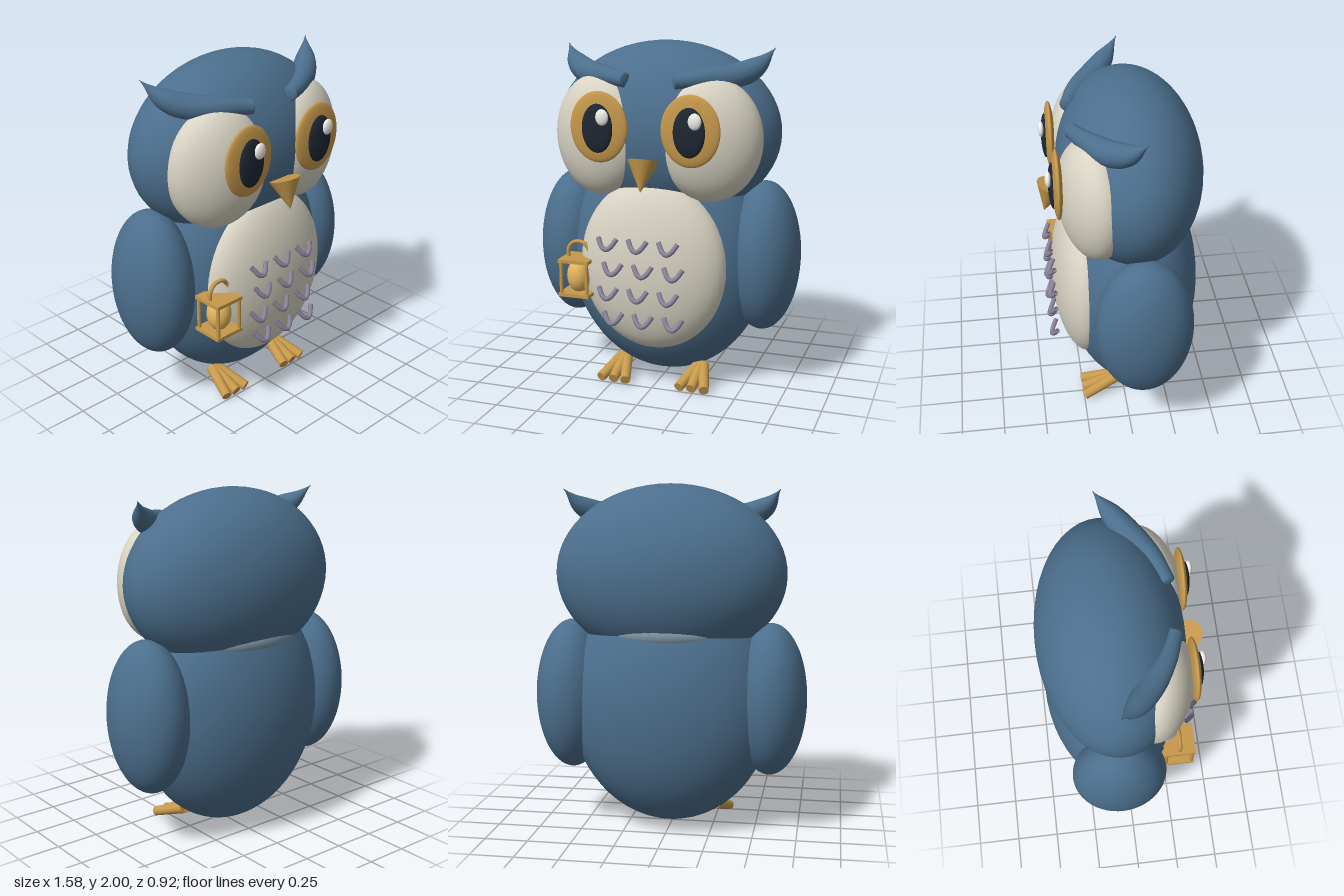
import * as THREE from 'three';

const mat = (color, side = THREE.FrontSide) => new THREE.MeshStandardMaterial({ color, side });
const blue = mat(0x4c6f8d);
const paleBlue = mat(0x7d95a6);
const cream = mat(0xd8d3c3);
const gold = mat(0xc6994c);
const glow = mat(0xe6b75c);
const dark = mat(0x1e2732);
const white = mat(0xf2f0ea);
const mauve = mat(0x89839b);

const V = (x, y, z) => new THREE.Vector3(x, y, z);

function add(parent, name, geometry, material, pos = [0, 0, 0]) {
  const mesh = new THREE.Mesh(geometry, material);
  mesh.name = name;
  mesh.position.set(...pos);
  parent.add(mesh);
  return mesh;
}

// Sphere stretched to three radii
function ellipsoid(parent, name, material, pos, radii) {
  const geo = new THREE.SphereGeometry(1, 48, 32).scale(...radii);
  return add(parent, name, geo, material, pos);
}

// Straight rod between two points
function rod(parent, name, material, a, b, ra, rb = ra) {
  const dir = b.clone().sub(a);
  const geo = new THREE.CylinderGeometry(rb, ra, dir.length(), 16);
  const mesh = add(parent, name, geo, material, a.clone().add(b).multiplyScalar(0.5).toArray());
  mesh.quaternion.setFromUnitVectors(V(0, 1, 0), dir.normalize());
  return mesh;
}

// Tube whose radius follows a list of values along the curve
function taperedTube(points, radii, segments = 32, sides = 20) {
  const curve = new THREE.CatmullRomCurve3(points);
  const geo = new THREE.TubeGeometry(curve, segments, 1, sides);
  const pos = geo.attributes.position;
  const profile = new THREE.SplineCurve(radii.map((r, i) => new THREE.Vector2(i, r)));
  for (let i = 0; i <= segments; i++) {
    const t = i / segments;
    const c = curve.getPointAt(t);
    const r = Math.max(profile.getPoint(t).y, 0.001);
    for (let j = 0; j <= sides; j++) {
      const k = i * (sides + 1) + j;
      const p = V(0, 0, 0).fromBufferAttribute(pos, k).sub(c).multiplyScalar(r).add(c);
      pos.setXYZ(k, p.x, p.y, p.z);
    }
  }
  geo.computeVertexNormals();
  return geo;
}

export function createModel() {
  const owl = new THREE.Group();
  owl.name = 'owl';

  // Main masses
  ellipsoid(owl, 'body', blue, [0, 0.74, -0.055], [0.6, 0.7, 0.4]);
  ellipsoid(owl, 'head', blue, [0, 1.49, -0.055], [0.665, 0.51, 0.405]);
  ellipsoid(owl, 'neck', paleBlue, [0, 1.17, -0.14], [0.38, 0.12, 0.25]);
  ellipsoid(owl, 'belly', cream, [0, 0.75, 0.21], [0.435, 0.5, 0.19]);

  // Mirrored parts
  for (const s of [1, -1]) {
    const side = s > 0 ? 'left' : 'right';
    ellipsoid(owl, side + 'Wing', blue, [s * 0.58, 0.78, -0.07], [0.21, 0.44, 0.275]);

    // Eye: face disc, iris, pupil and highlight
    const disc = ellipsoid(owl, side + 'FaceDisc', cream, [s * 0.325, 1.48, 0.185], [0.29, 0.345, 0.17]);
    disc.rotation.y = s * 0.3;
    ellipsoid(owl, side + 'Iris', gold, [s * 0.262, 1.55, 0.362], [0.167, 0.197, 0.03]);
    ellipsoid(owl, side + 'Pupil', dark, [s * 0.262, 1.545, 0.385], [0.09, 0.135, 0.025]);
    ellipsoid(owl, side + 'Highlight', white, [s * 0.262 + 0.038, 1.61, 0.41], [0.037, 0.045, 0.018]);

    // Ear tuft sweeping out and back to a point
    const path = [[0.145, 1.8, 0.265], [0.29, 1.815, 0.2], [0.43, 1.822, 0.1], [0.54, 1.875, 0.01], [0.62, 1.97, -0.07]];
    const tuft = taperedTube(path.map(([x, y, z]) => V(s * x, y, z)), [0.042, 0.055, 0.07, 0.056, 0]);
    add(owl, side + 'EarTuft', tuft, blue);
    const cap = ellipsoid(owl, side + 'TuftEnd', blue, path[0].map((v, i) => (i ? v : s * v)), [0.012, 0.042, 0.042]);
    cap.rotation.y = s * 0.42;

    // Foot with three toes fanning forward
    const foot = new THREE.Group();
    foot.name = side + 'Foot';
    owl.add(foot);
    for (const x of [0.165, 0.24, 0.318]) {
      rod(foot, 'toe', gold, V(s * (0.24 + (x - 0.24) * 0.2), 0.105, 0.05), V(s * x, 0.032, 0.25), 0.034, 0.029);
    }
  }

  // Beak: cone pointing down and slightly forward
  const beak = add(owl, 'beak', new THREE.ConeGeometry(0.088, 0.175, 32), gold, [0, 1.295, 0.4]);
  beak.rotation.x = Math.PI - 0.3;

  // Chevron feathers in staggered rows
  const vee = new THREE.CatmullRomCurve3([
    V(-0.055, 0.036, 0), V(-0.025, -0.015, 0), V(0, -0.03, 0), V(0.025, -0.015, 0), V(0.055, 0.036, 0),
  ]);
  const chevron = new THREE.TubeGeometry(vee, 16, 0.014, 10);
  [0.9, 0.757, 0.612, 0.467].forEach((y, row) => {
    for (let col = -1; col <= 1; col++) {
      const x = col * 0.178 + (row % 2 ? 0 : -0.03);
      const feather = add(owl, 'feather', chevron, mauve, [x, y, 0.41]);
      feather.material.side = THREE.DoubleSide;
      feather.rotation.x = -0.5;
    }
  });

  // Lantern
  const lantern = new THREE.Group();
  lantern.name = 'lantern';
  lantern.position.set(-0.423, 0, 0.3);
  owl.add(lantern);
  for (const y of [0.57, 0.77]) {
    add(lantern, 'plate', new THREE.BoxGeometry(0.185, 0.02, 0.185), gold, [0, y, 0]);
  }
  for (const x of [-0.078, 0.078]) {
    for (const z of [-0.078, 0.078]) {
      rod(lantern, 'post', gold, V(x, 0.57, z), V(x, 0.77, z), 0.011);
    }
  }
  ellipsoid(lantern, 'flame', glow, [0, 0.67, 0], [0.07, 0.1, 0.07]);
  const handle = new THREE.CatmullRomCurve3([
    V(-0.065, 0.77, 0), V(-0.063, 0.825, 0), V(-0.03, 0.865, 0),
    V(0.03, 0.865, 0), V(0.063, 0.825, 0), V(0.065, 0.77, 0),
  ]);
  add(lantern, 'handle', new THREE.TubeGeometry(handle, 32, 0.012, 10), gold);

  return owl;
}
